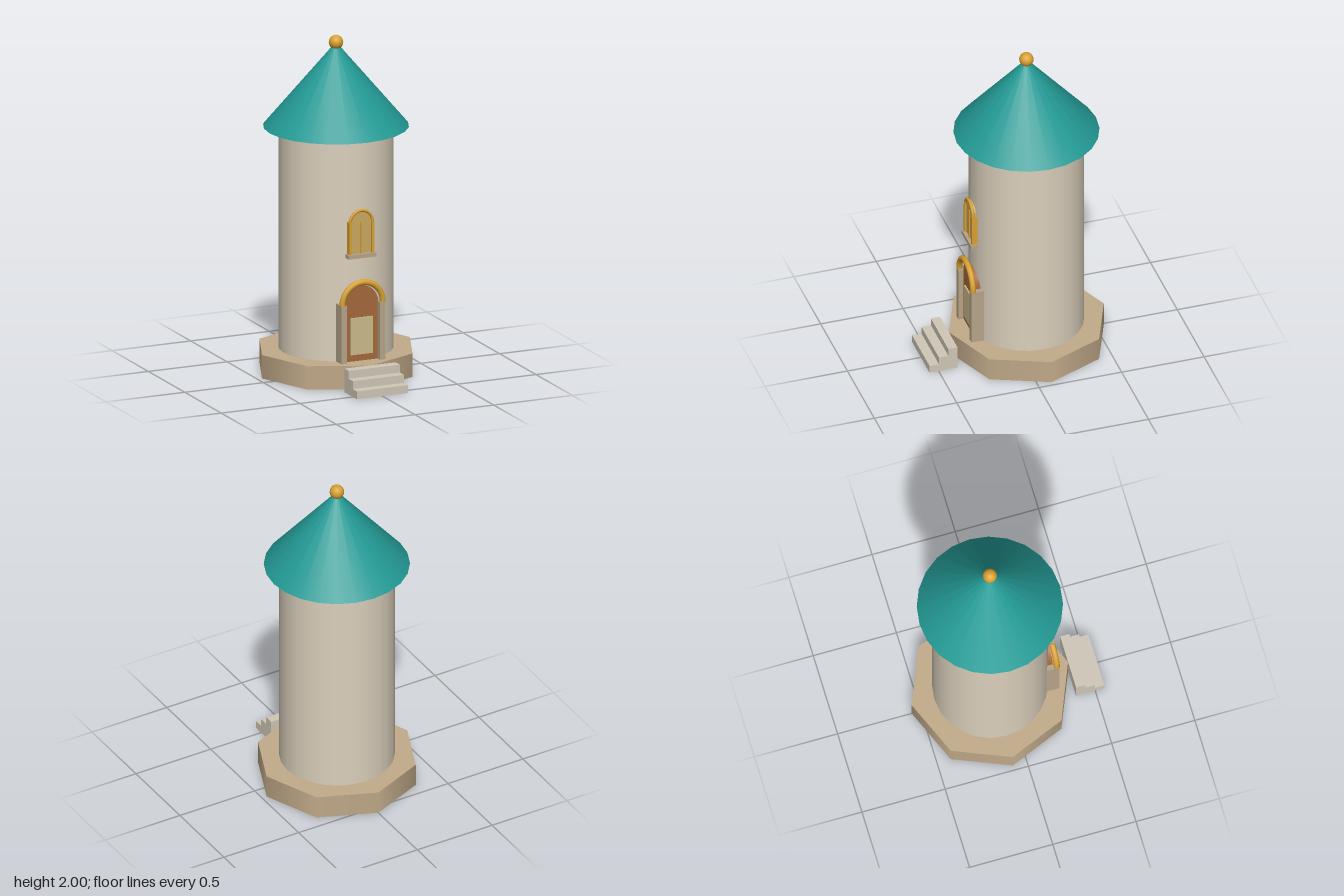
import * as THREE from 'three';

const mat = (name, color) => {
  const m = new THREE.MeshStandardMaterial({ color });
  m.name = name;
  return m;
};

export function createModel() {
  const plaster = mat('plaster', 0xdbd0bc);
  const baseStone = mat('base stone', 0xc2ab8a);
  const stepStone = mat('step stone', 0xd0c7b7);
  const trimStone = mat('trim stone', 0xb7a58a);
  const teal = mat('roof teal', 0x239a95);
  const gold = mat('gold', 0xd9a130);
  const wood = mat('door wood', 0xa5683a);
  const panelTan = mat('panel tan', 0xcbba8a);
  const glass = mat('window glass', 0xcaa860);

  const root = new THREE.Group();
  root.name = 'tower';
  const CZ = -0.085; // tower axis

  const add = (name, geo, material, x, y, z) => {
    const mesh = new THREE.Mesh(geo, material);
    mesh.name = name;
    mesh.position.set(x, y, z);
    root.add(mesh);
    return mesh;
  };
  // Box given by its extents
  const box = (name, material, x0, x1, y0, y1, z0, z1) =>
    add(name, new THREE.BoxGeometry(x1 - x0, y1 - y0, z1 - z0), material,
      (x0 + x1) / 2, (y0 + y1) / 2, (z0 + z1) / 2);
  // Round-headed slab: half width r, straight sides from y0 to y1
  const archSlab = (name, material, r, y0, y1, z0, z1) => {
    const s = new THREE.Shape();
    s.moveTo(-r, y0);
    s.lineTo(r, y0);
    s.lineTo(r, y1);
    s.absarc(0, y1, r, 0, Math.PI, false);
    s.lineTo(-r, y0);
    const geo = new THREE.ExtrudeGeometry(s, { depth: z1 - z0, bevelEnabled: false, curveSegments: 16 });
    return add(name, geo, material, 0, 0, z0);
  };
  const halfRing = (name, r, tube, y, z) =>
    add(name, new THREE.TorusGeometry(r, tube, 10, 24, Math.PI), gold, 0, y, z);

  // Main masses
  add('base', new THREE.CylinderGeometry(0.47, 0.47, 0.14, 8), baseStone, 0, 0.07, CZ);
  add('towerWall', new THREE.CylinderGeometry(0.334, 0.334, 1.32, 24), plaster, 0, 0.8, CZ);
  add('roof', new THREE.ConeGeometry(0.422, 0.5, 24), teal, 0, 1.71, CZ);
  add('finial', new THREE.SphereGeometry(0.042, 16, 12), gold, 0, 1.958, CZ);

  // Steps, each shorter in depth than the one below
  for (let i = 0; i < 3; i++) {
    box('step' + (i + 1), stepStone, -0.163, 0.163, i * 0.047, (i + 1) * 0.047, 0.385, 0.555 - i * 0.057);
  }

  // Door with posts and arch
  archSlab('door', wood, 0.108, 0.14, 0.48, 0.2, 0.261);
  box('doorPanel', panelTan, -0.07, 0.07, 0.18, 0.4, 0.261, 0.27);
  for (const s of [-1, 1]) {
    box('doorPost', trimStone, s * 0.122 - 0.017, s * 0.122 + 0.017, 0.14, 0.485, 0.2, 0.293);
  }
  halfRing('doorArch', 0.128, 0.0175, 0.485, 0.28);

  // Window with frame, mullion and sill
  archSlab('windowGlass', glass, 0.068, 0.775, 0.97, 0.2, 0.258);
  for (const s of [-1, 1]) {
    box('windowJamb', gold, s * 0.071 - 0.008, s * 0.071 + 0.008, 0.775, 0.97, 0.225, 0.271);
  }
  halfRing('windowArch', 0.071, 0.009, 0.967, 0.262);
  box('windowMullion', gold, -0.004, 0.004, 0.775, 0.97, 0.255, 0.264);
  box('windowSill', trimStone, -0.088, 0.088, 0.757, 0.78, 0.22, 0.28);

  return root;
}
